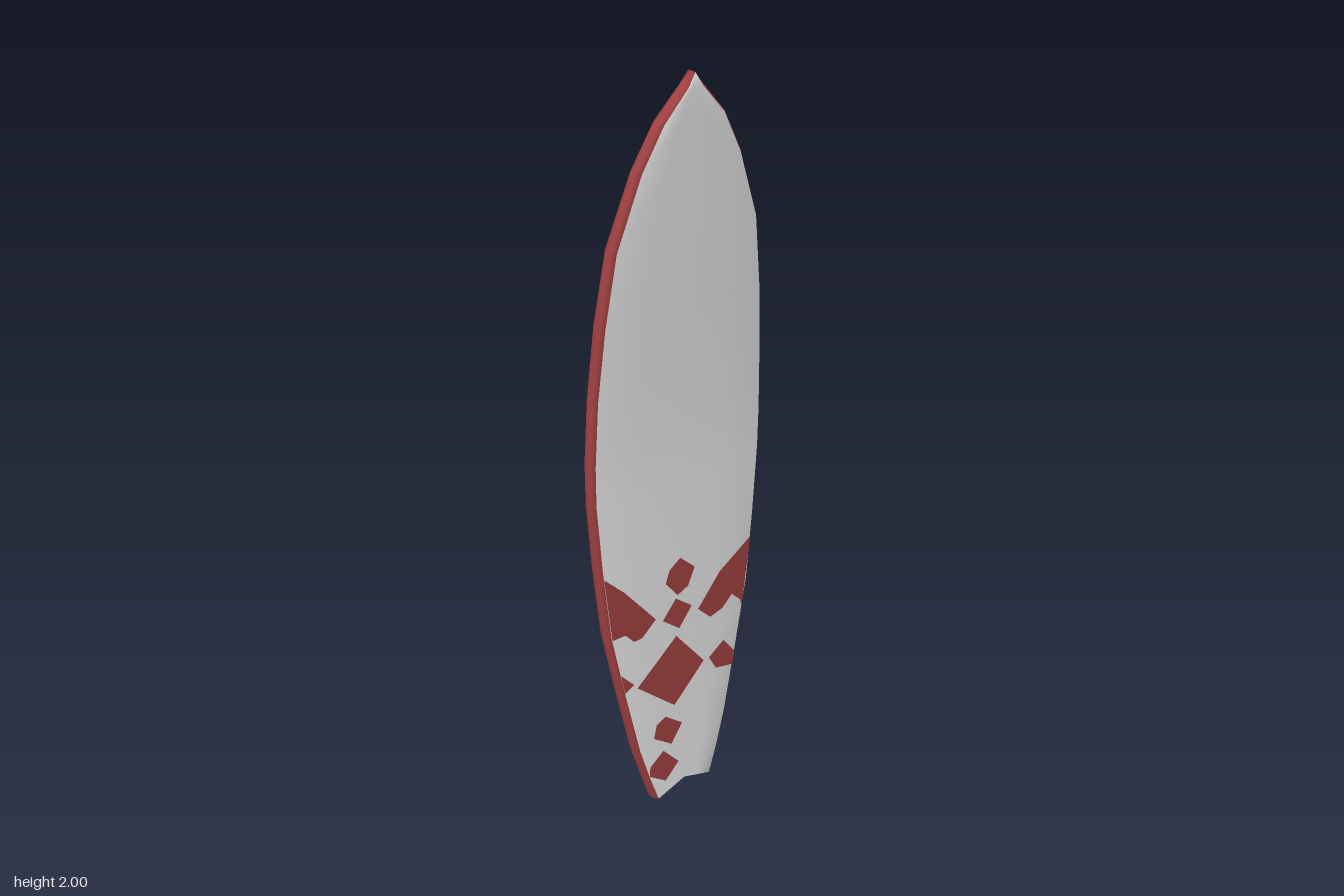
import * as THREE from 'three';
import { mergeVertices } from 'three/addons/utils/BufferGeometryUtils.js';

const white = new THREE.MeshStandardMaterial({ color: 0xe6e6e6 });
white.name = 'white';
const red = new THREE.MeshStandardMaterial({ color: 0xa04040 });
red.name = 'red';

// Board stations from nose to tail: height, half width, deck z, bottom z
const STATIONS = [
  [2, 0, 0.087, 0.062], [1.97, 0.03, 0.089, 0.055], [1.9, 0.094, 0.087, 0.048],
  [1.8, 0.149, 0.080, 0.038], [1.63, 0.211, 0.071, 0.024], [1.45, 0.238, 0.060, 0.010],
  [1.27, 0.255, 0.050, 0.001], [1.1, 0.263, 0.045, -0.005], [0.99, 0.263, 0.044, -0.006],
  [0.8, 0.251, 0.046, -0.005], [0.6, 0.233, 0.049, -0.002], [0.4, 0.196, 0.053, 0.003],
  [0.2, 0.156, 0.058, 0.008], [0.09, 0.126, 0.062, 0.011], [0.004, 0.1, 0.064, 0.013],
];
const SPLIT = 8; // station where the bottom changes colour
const INSET = 0.011;
const LAST = STATIONS.length - 1;

// Width, deck z and bottom z at any height
function stationAt(y) {
  let i = 0;
  while (i < LAST - 1 && STATIONS[i + 1][0] > y) i++;
  const a = STATIONS[i], b = STATIONS[i + 1];
  const t = (a[0] - y) / (a[0] - b[0]);
  return a.map((v, k) => v + (b[k] - v) * t);
}
const edge = (w) => Math.max(0, w - INSET);
const deckZ = (f, x) => f - 0.09 * x * x; // slightly domed deck

// Skin over rows of points
function loft(rows) {
  const n = rows[0].length, index = [];
  for (let r = 0; r < rows.length - 1; r++) {
    for (let c = 0; c < n - 1; c++) {
      const a = r * n + c, d = a + n;
      index.push(a, d, a + 1, a + 1, d, d + 1);
    }
  }
  let g = new THREE.BufferGeometry();
  g.setAttribute('position', new THREE.Float32BufferAttribute(rows.flat(2), 3));
  g.setIndex(index);
  g = mergeVertices(g, 1e-5);
  g.computeVertexNormals();
  return g;
}

function add(parent, name, geometry, material) {
  const m = new THREE.Mesh(geometry, material);
  m.name = name;
  parent.add(m);
}

// Point on the board; the last station is notched into a swallow tail
function place(i, x, z) {
  const notch = i === LAST ? 0.035 * Math.max(0, 1 - Math.abs(x) / 0.1) : 0;
  return [x, STATIONS[i][0] + notch, z];
}
const ACROSS = [-1, -0.5, 0, 0.5, 1];

function deckRow([, w, f], i) {
  return ACROSS.map((u) => place(i, u * edge(w), deckZ(f, u * edge(w))));
}
function bottomRow([, w, , b], i) {
  return ACROSS.map((u) => place(i, -u * edge(w), b));
}
function railRow([, w, f, b], i, side) {
  const top = deckZ(f, edge(w));
  return [[0.003, 0.25], [0, 0.55], [0.004, 0.8]]
    .map(([inset, t]) => place(i, side * Math.max(0, w - inset), top + (b - top) * t));
}

// Closed ring: four cells each of deck, left rail, bottom and right rail
function ringRow(s, i) {
  const deck = deckRow(s, i);
  return [...deck, ...railRow(s, i, 1), ...bottomRow(s, i), ...railRow(s, i, -1).reverse(), deck[0]];
}

// One quarter of the ring between two stations, keeping the smooth normals
function skinPart(skin, quarter, from, to) {
  const g = skin.clone();
  g.setIndex(Array.from(skin.index.array).filter((_, k) => {
    const cell = Math.floor(k / 6), row = Math.floor(cell / 16);
    return Math.floor((cell % 16) / 4) === quarter && row >= from && row < to;
  }));
  return g;
}

// Painted patches as [x, y] outlines, clockwise; x of 0.3 runs out to the edge
const PATCHES = [
  [[-0.3, 0.78], [-0.18, 0.72], [-0.085, 0.6], [-0.13, 0.56], [-0.155, 0.56], [-0.18, 0.59], [-0.3, 0.59]],
  [[0.3, 0.725], [0.3, 0.515], [0.2, 0.54], [0.17, 0.57], [0.127, 0.66]],
  [[0.127, 0.66], [0.17, 0.57], [0.137, 0.54], [0.095, 0.53], [0.053, 0.573]],
  [[-0.005, 0.755], [0.042, 0.71], [0.02, 0.66], [-0.015, 0.645], [-0.052, 0.695], [-0.04, 0.73]],
  [[-0.02, 0.637], [0.032, 0.594], [-0.01, 0.54], [-0.063, 0.585]],
  [[-0.02, 0.52], [0.072, 0.4], [-0.03, 0.3], [-0.148, 0.41]],
  [[0.09, 0.4], [0.142, 0.435], [0.2, 0.38], [0.18, 0.34], [0.115, 0.355]],
  [[-0.3, 0.472], [-0.158, 0.425], [-0.19, 0.41], [-0.3, 0.41]],
  [[-0.06, 0.275], [-0.005, 0.23], [-0.042, 0.175], [-0.1, 0.22], [-0.09, 0.26]],
  [[-0.07, 0.165], [-0.02, 0.105], [-0.065, 0.06], [-0.125, 0.1], [-0.115, 0.13]],
];

// Thin patch following the board; the bottom carries a mirrored copy
function patch(outline, onDeck) {
  const pts = outline.map(([x, y]) => {
    const e = edge(stationAt(y)[1]);
    return [THREE.MathUtils.clamp(x, -e, e), y];
  }).reverse();
  const cx = pts.reduce((s, p) => s + p[0], 0) / pts.length;
  const cy = pts.reduce((s, p) => s + p[1], 0) / pts.length;
  const rim = [], CUTS = 4, RINGS = 4;
  for (let i = 0; i <= pts.length * CUTS; i++) {
    const k = Math.floor(i / CUTS) % pts.length, t = (i % CUTS) / CUTS;
    const a = pts[k], b = pts[(k + 1) % pts.length];
    rim.push([a[0] + (b[0] - a[0]) * t, a[1] + (b[1] - a[1]) * t]);
  }
  const rows = [];
  for (let r = 0; r <= RINGS; r++) {
    rows.push(rim.map(([px, py]) => {
      const x = cx + (px - cx) * r / RINGS, y = cy + (py - cy) * r / RINGS;
      const [, , f, b] = stationAt(y);
      return onDeck ? [x, y, deckZ(f, x) + 0.0015] : [-x, y, b - 0.0015];
    }));
  }
  return loft(rows);
}

// Fin sections from root to tip: z, leading y, trailing y, x, thickness
const FIN = [
  [0.015, 0.195, 0.015, 0.081, 0.027], [-0.005, 0.182, 0.042, 0.079, 0.022],
  [-0.02, 0.17, 0.057, 0.077, 0.019], [-0.05, 0.146, 0.065, 0.075, 0.016],
  [-0.075, 0.123, 0.066, 0.071, 0.012], [-0.088, 0.1, 0.067, 0.066, 0.008],
  [-0.091, 0.08, 0.074, 0.065, 0],
];
function fin(side) {
  return loft(FIN.map(([z, lead, trail, x, thick]) => {
    const ring = [];
    for (let k = 0; k <= 12; k++) {
      const a = (k % 12) / 12 * Math.PI * 2, s = Math.sin(a);
      const toe = -0.006 * s * (lead - trail) / 0.17;
      ring.push([side * (x + toe) + Math.cos(a) * thick / 2, (lead + trail) / 2 + s * (lead - trail) / 2, z]);
    }
    return ring;
  }));
}

export function createModel() {
  const model = new THREE.Group();
  model.name = 'surfboard';

  // Board skin
  const skin = loft(STATIONS.map(ringRow));
  add(model, 'deck', skinPart(skin, 0, 0, LAST), white);
  add(model, 'leftRail', skinPart(skin, 1, 0, LAST), red);
  add(model, 'bottomNose', skinPart(skin, 2, 0, SPLIT), red);
  add(model, 'bottomTail', skinPart(skin, 2, SPLIT, LAST), white);
  add(model, 'rightRail', skinPart(skin, 3, 0, LAST), red);
  const tail = STATIONS[LAST];
  add(model, 'tailEnd', loft([deckRow(tail, LAST), bottomRow(tail, LAST).reverse()]), red);

  // Painted patches on both faces
  for (const outline of PATCHES) {
    add(model, 'deckPatch', patch(outline, true), red);
    add(model, 'bottomPatch', patch(outline, false), red);
  }

  // Twin fins
  add(model, 'leftFin', fin(1), white);
  add(model, 'rightFin', fin(-1), white);
  return model;
}
